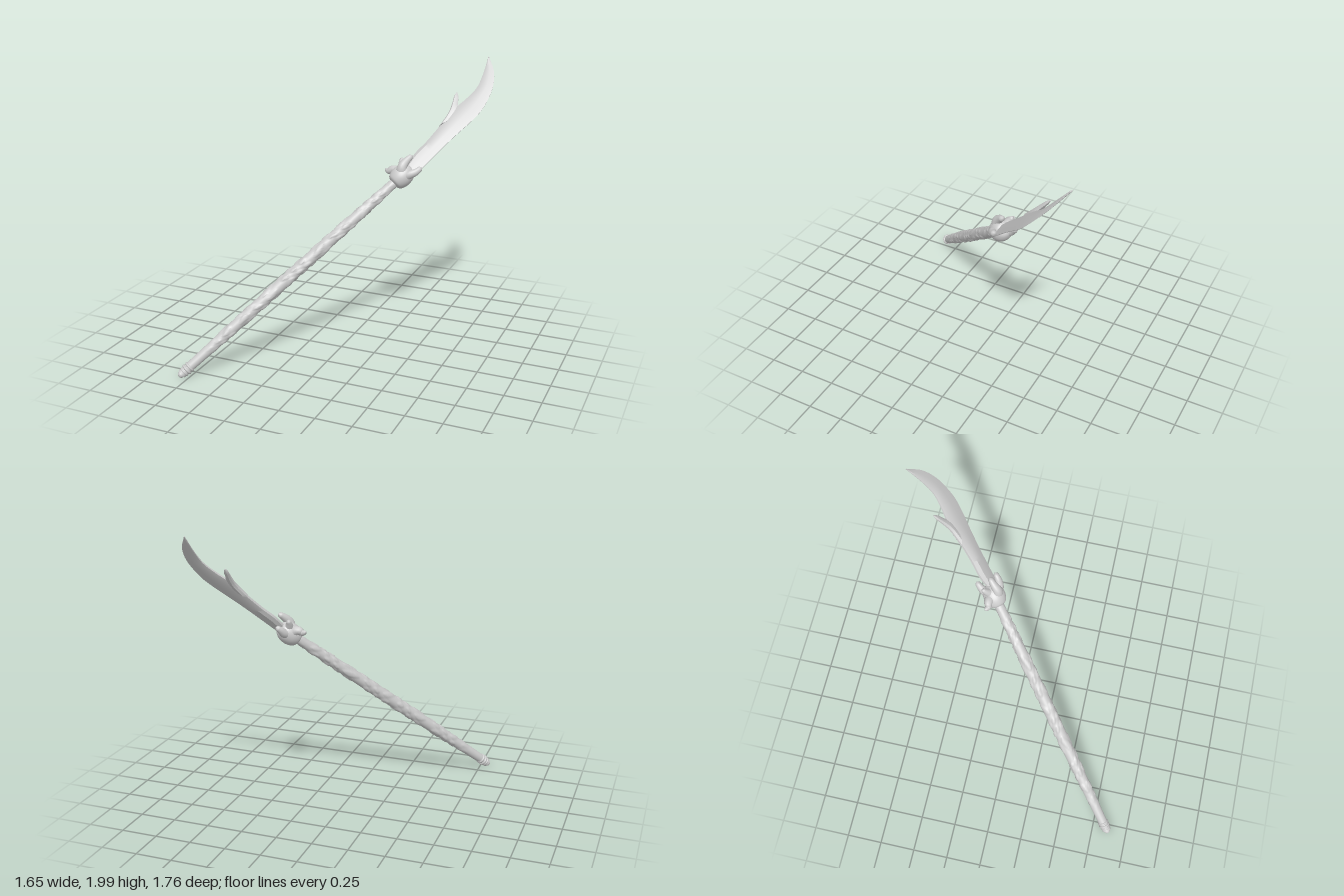
import * as THREE from 'three';
import { toCreasedNormals } from 'three/addons/utils/BufferGeometryUtils.js';

const V = (x, y, z) => new THREE.Vector3(x, y, z);
const grey = new THREE.MeshStandardMaterial({ color: 0xcccccc, side: THREE.DoubleSide });

// Shaft axis from the butt to the collar, and the slanted plane the blade lies in
const butt = V(-0.795, 0.035, 0.855), neck = V(0.345, 1.25, -0.235);
const axis = neck.clone().sub(butt), length = axis.length();
const onBlade = ([x, y]) => V(x, y, -0.25 - 0.87 * (y - 1.275));
const bladeNormal = V(0, 0.87, 1).normalize();

function add(parent, name, geometry) {
  const mesh = new THREE.Mesh(geometry, grey);
  mesh.name = name;
  parent.add(mesh);
  return mesh;
}

// Closed skin over rings with equal point counts, capped at both ends
function loft(rings) {
  const n = rings[0].length, pos = [], index = [];
  rings.forEach(r => r.forEach(p => pos.push(p.x, p.y, p.z)));
  for (let i = 0; i < rings.length - 1; i++)
    for (let j = 0; j < n; j++) {
      const a = i * n + j, b = i * n + (j + 1) % n;
      index.push(a, b, a + n, b, b + n, a + n);
    }
  const last = (rings.length - 1) * n;
  for (let j = 1; j < n - 1; j++) index.push(0, j + 1, j, last, last + j, last + j + 1);
  const g = new THREE.BufferGeometry();
  g.setAttribute('position', new THREE.Float32BufferAttribute(pos, 3));
  g.setIndex(index);
  g.computeVertexNormals();
  return g;
}

// Lens-shaped slices between a back edge and a cutting edge
function bladeSkin(back, edge, thickness, steps) {
  const curve = pts => new THREE.CatmullRomCurve3(pts.map(onBlade));
  const a = curve(back), b = curve(edge), rings = [];
  const section = [[0, 0.35], [0.22, 1], [0.6, 0.8], [1, 0.08], [1, -0.08], [0.6, -0.8], [0.22, -1], [0, -0.35]];
  for (let i = 0; i <= steps; i++) {
    const t = i / steps, p = a.getPoint(t), q = b.getPoint(t);
    const h = thickness * (1 - 0.8 * t * t);
    rings.push(section.map(([s, k]) => p.clone().lerp(q, s).addScaledVector(bladeNormal, k * h)));
  }
  return toCreasedNormals(loft(rings), 0.6);
}

// Tapered round horn through a few points
function horn(points, radii) {
  const curve = new THREE.CatmullRomCurve3(points), steps = 14, sides = 12;
  const frames = curve.computeFrenetFrames(steps), rings = [];
  for (let i = 0; i <= steps; i++) {
    const t = i / steps, f = t * (radii.length - 1), k = Math.min(Math.floor(f), radii.length - 2);
    const r = THREE.MathUtils.lerp(radii[k], radii[k + 1], f - k) * (i === steps ? 0.3 : 1);
    const c = curve.getPointAt(t), ring = [];
    for (let j = 0; j < sides; j++) {
      const w = j / sides * Math.PI * 2;
      ring.push(c.clone().addScaledVector(frames.normals[i], r * Math.cos(w))
        .addScaledVector(frames.binormals[i], r * Math.sin(w)));
    }
    rings.push(ring);
  }
  return loft(rings);
}

// Shaft with a slight belly and patchy winding relief
function shaftGeometry() {
  const g = new THREE.CylinderGeometry(1, 1, length, 36, 200, true);
  g.translate(0, length / 2, 0);
  const p = g.attributes.position;
  for (let i = 0; i < p.count; i++) {
    const y = p.getY(i), t = THREE.MathUtils.clamp(y / length, 0, 1), w = Math.atan2(p.getZ(i), p.getX(i));
    const wave = Math.sin(3 * w + 21 * y + 1.5 * Math.sin(17 * y + w)) * Math.sin(2 * w - 33 * y + 1.2 * Math.sin(9 * y));
    const fade = THREE.MathUtils.smoothstep(t, 0.08, 0.2) * (1 - THREE.MathUtils.smoothstep(t, 0.88, 0.98));
    const relief = 0.005 * THREE.MathUtils.smoothstep(wave, 0.2, 0.4) * fade;
    const r = 0.031 + 0.011 * Math.sin(Math.PI * t) + relief;
    p.setX(i, r * Math.cos(w));
    p.setZ(i, r * Math.sin(w));
  }
  g.computeVertexNormals();
  return g;
}

const lathe = (pts, sides) => new THREE.LatheGeometry(
  new THREE.SplineCurve(pts.map(([r, y]) => new THREE.Vector2(r, y))).getPoints(pts.length * 5), sides);

export function createModel() {
  const model = new THREE.Group();

  // Parts turned around the slanted shaft axis
  const pole = new THREE.Group();
  pole.name = 'pole';
  pole.position.copy(butt);
  pole.quaternion.setFromUnitVectors(V(0, 1, 0), axis.clone().normalize());
  model.add(pole);
  add(pole, 'shaft', shaftGeometry());
  add(pole, 'buttKnob', lathe([[0, -0.026], [0.015, -0.023], [0.023, -0.008], [0.02, 0.01], [0.024, 0.02]], 24));
  for (const [y, r] of [[0.022, 0.026], [0.045, 0.031], [0.07, 0.03]]) {
    const ring = add(pole, 'buttRing', new THREE.TorusGeometry(r, 0.009, 10, 28));
    ring.rotation.x = Math.PI / 2;
    ring.position.y = y;
  }
  add(pole, 'collar', lathe([[0.03, length - 0.075], [0.058, length - 0.06], [0.074, length - 0.015],
    [0.07, length + 0.035], [0.052, length + 0.07], [0.03, length + 0.085], [0, length + 0.087]], 32));

  // Horns gripping the blade root
  const horns = [
    ['rightHorn', [V(0.33, 1.26, -0.25), V(0.275, 1.285, -0.26), V(0.245, 1.27, -0.255), V(0.215, 1.282, -0.27)], [0.045, 0.033, 0.024, 0.01]],
    ['leftHorn', [V(0.36, 1.25, -0.22), V(0.41, 1.275, -0.215), V(0.445, 1.29, -0.23), V(0.48, 1.32, -0.26)], [0.04, 0.03, 0.024, 0.016]],
    ['frontHorn', [V(0.35, 1.27, -0.22), V(0.355, 1.32, -0.215), V(0.375, 1.36, -0.245), V(0.405, 1.392, -0.28)], [0.045, 0.034, 0.025, 0.016]],
    ['backHorn', [V(0.35, 1.26, -0.26), V(0.355, 1.27, -0.305), V(0.365, 1.295, -0.335), V(0.385, 1.325, -0.365)], [0.045, 0.032, 0.024, 0.015]],
    ['spineHorn', [V(0.34, 1.29, -0.26), V(0.325, 1.335, -0.29), V(0.322, 1.36, -0.31)], [0.036, 0.024, 0.012]],
  ];
  for (const [name, points, radii] of horns) add(model, name, horn(points, radii));

  // Curved blade, back edge then cutting edge
  add(model, 'blade', bladeSkin(
    [[0.36, 1.30], [0.40, 1.385], [0.46, 1.46], [0.52, 1.55], [0.565, 1.625], [0.61, 1.68], [0.665, 1.735], [0.715, 1.80], [0.735, 1.88], [0.743, 1.996]],
    [[0.43, 1.25], [0.49, 1.325], [0.58, 1.435], [0.66, 1.525], [0.735, 1.605], [0.785, 1.67], [0.813, 1.74], [0.826, 1.82], [0.808, 1.905], [0.747, 1.996]],
    0.023, 54));

  // Barb rising from the back edge
  add(model, 'barb', bladeSkin(
    [[0.52, 1.555], [0.562, 1.64], [0.571, 1.70], [0.572, 1.745], [0.58, 1.766]],
    [[0.62, 1.62], [0.622, 1.67], [0.61, 1.70], [0.602, 1.74], [0.586, 1.766]],
    0.02, 16));

  return model;
}
